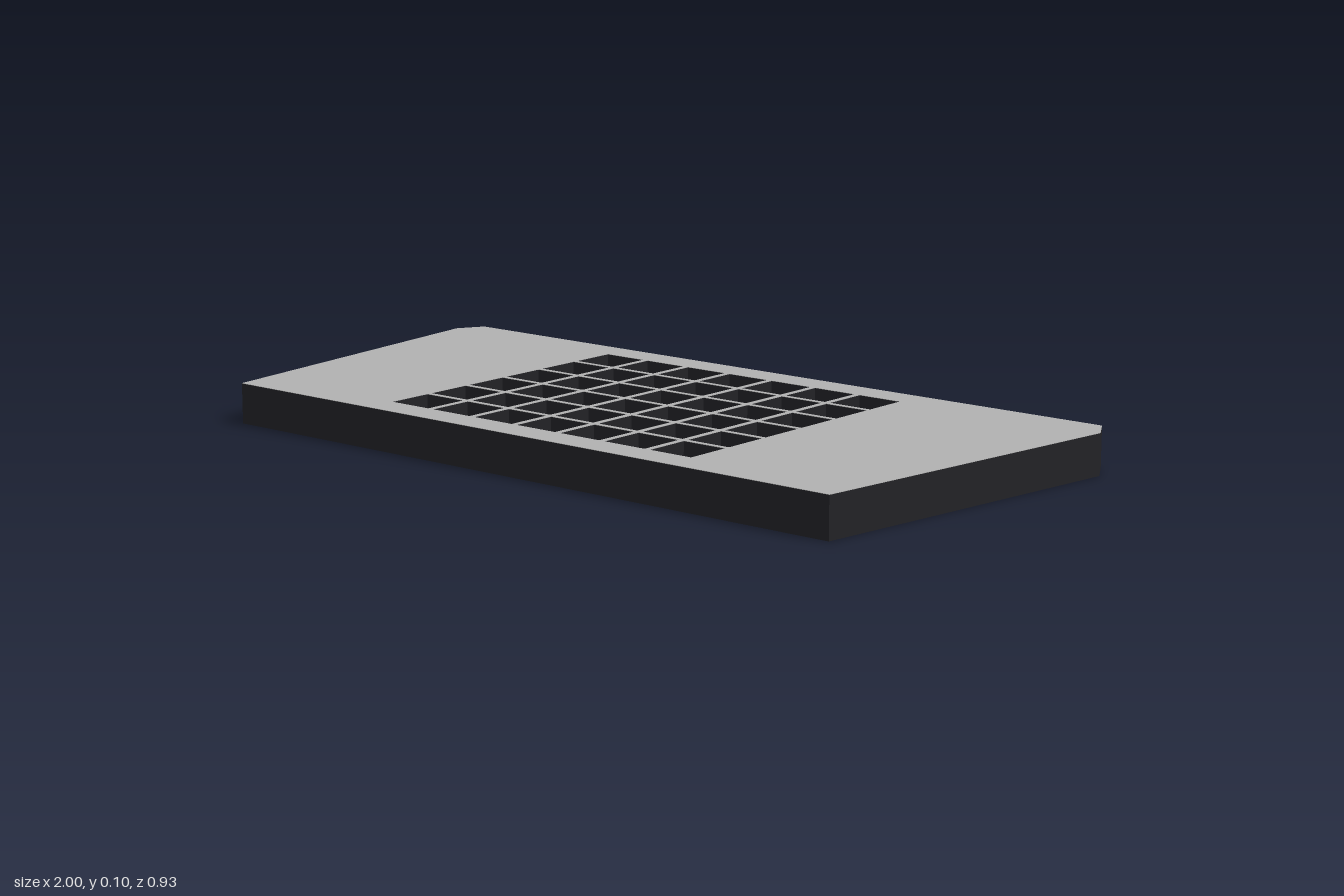
import * as THREE from 'three';

const COLS = 7, ROWS = 6, PITCH_X = 0.1323, PITCH_Z = 0.1313, CELL = 0.118;
const HEIGHT = 0.1, FLOOR = 0.02, SKIN = 0.001;

// Tapered slab outline with clipped back corners (shape y = -z)
function outline() {
  const half = [[0.89, -0.467], [1, 0.4], [0.962, 0.467]];
  const mirrored = half.map(([x, y]) => [-x, y]).reverse();
  return new THREE.Shape([...half, ...mirrored].map(([x, y]) => new THREE.Vector2(x, y)));
}

// Same outline pierced by the grid of square pockets
function piercedOutline() {
  const shape = outline();
  const h = CELL / 2;
  for (let c = 0; c < COLS; c++) {
    for (let r = 0; r < ROWS; r++) {
      const x = (c - (COLS - 1) / 2) * PITCH_X;
      const y = (r - (ROWS - 1) / 2) * PITCH_Z;
      shape.holes.push(new THREE.Path([[-h, -h], [-h, h], [h, h], [h, -h]]
        .map(([dx, dy]) => new THREE.Vector2(x + dx, y + dy))));
    }
  }
  return shape;
}

function slab(name, shape, y0, y1, material) {
  const geo = new THREE.ExtrudeGeometry(shape, { depth: y1 - y0, bevelEnabled: false });
  geo.rotateX(-Math.PI / 2).translate(0, y0, 0);
  const mesh = new THREE.Mesh(geo, material);
  mesh.name = name;
  return mesh;
}

export function createModel() {
  const group = new THREE.Group();
  group.name = 'pocketTray';
  const dark = new THREE.MeshStandardMaterial({ color: 0x222226 });
  const grey = new THREE.MeshStandardMaterial({ color: 0xb0b0b0 });

  // Solid floor, pocket walls and thin grey top plate
  group.add(slab('base', outline(), 0, FLOOR, dark));
  group.add(slab('pocketWalls', piercedOutline(), FLOOR, HEIGHT - SKIN, dark));
  group.add(slab('topPlate', piercedOutline(), HEIGHT - SKIN, HEIGHT, grey));
  return group;
}
